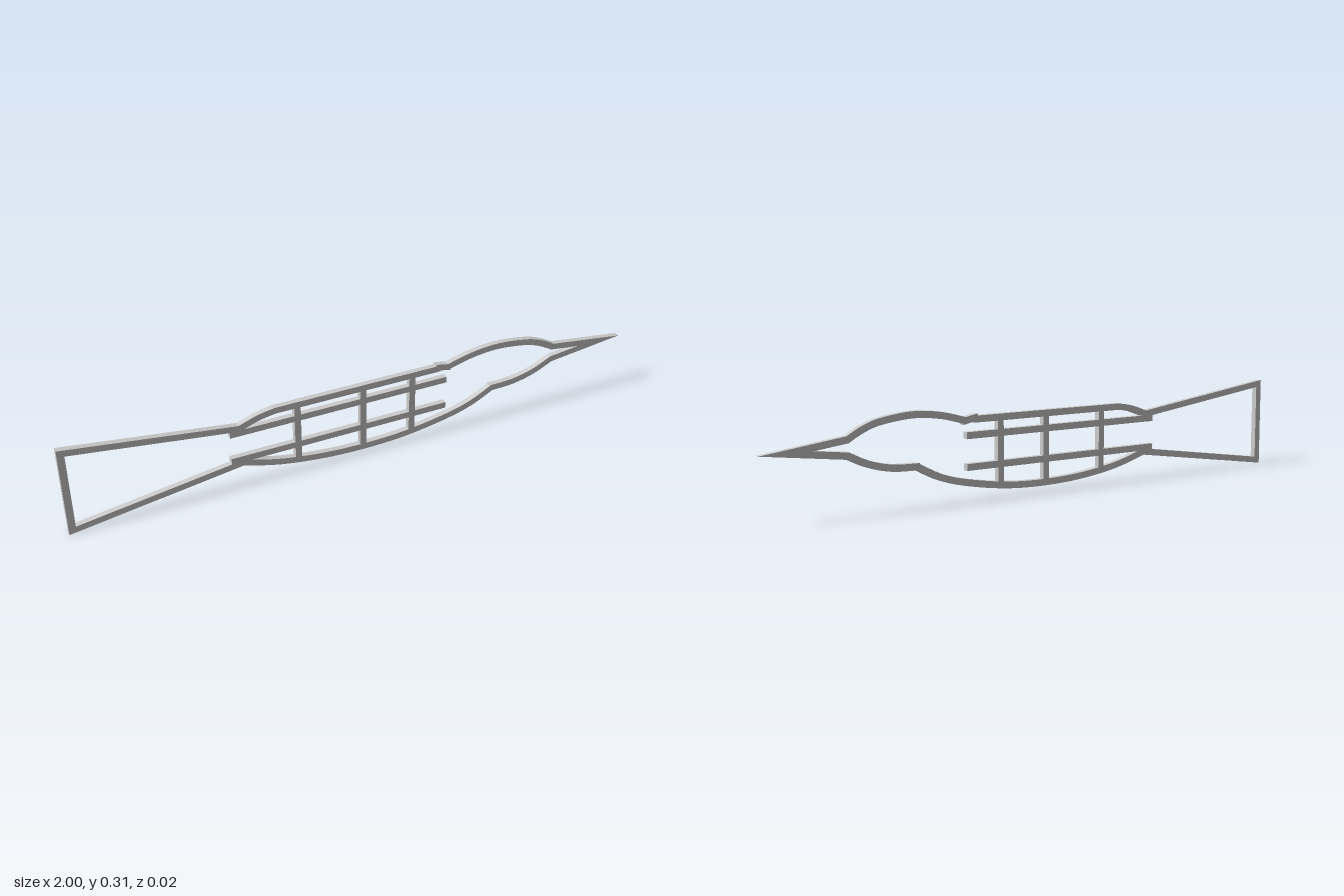
import * as THREE from 'three';
import { toCreasedNormals } from 'three/addons/utils/BufferGeometryUtils.js';

const DEPTH = 0.02;  // thickness along z
const WIDTH = 0.022; // width of every frame strip

export function createModel() {
  const model = new THREE.Group();
  const material = new THREE.MeshStandardMaterial({ color: 0xcccccc });

  // Flat plate from an outline in the xy plane, centred on z = 0
  function plate(name, points) {
    const shape = new THREE.Shape(points.map(([x, y]) => new THREE.Vector2(x, y)));
    const geometry = new THREE.ExtrudeGeometry(shape, { depth: DEPTH, bevelEnabled: false });
    geometry.translate(0, 0, -DEPTH / 2);
    const mesh = new THREE.Mesh(toCreasedNormals(geometry, 0.5), material);
    mesh.name = name;
    model.add(mesh);
  }

  // Strip of constant width following a smooth centre line
  function strip(name, points, segments = 24) {
    const curve = new THREE.SplineCurve(points.map(([x, y]) => new THREE.Vector2(x, y)));
    const upper = [], lower = [];
    for (let i = 0; i <= segments; i++) {
      const p = curve.getPoint(i / segments);
      const t = curve.getTangent(i / segments).multiplyScalar(WIDTH / 2);
      upper.push([p.x - t.y, p.y + t.x]);
      lower.unshift([p.x + t.y, p.y - t.x]);
    }
    plate(name, [...upper, ...lower]);
  }

  // Flared tail frame, open towards the body
  plate('tail', [
    [-0.42, 0.236], [-1, 0.313], [-1, 0], [-0.42, 0.084],
    [-0.42, 0.106], [-0.977, 0.025], [-0.977, 0.288], [-0.42, 0.214],
  ]);

  // Body outline
  strip('shoulder', [[-0.435, 0.226], [-0.37, 0.249], [-0.31, 0.26]]);
  strip('back', [[-0.315, 0.26], [0.28, 0.26]], 1);
  strip('neckTab', [[0.263, 0.267], [0.32, 0.256]], 1);
  strip('belly', [
    [-0.435, 0.097], [-0.3, 0.06], [-0.15, 0.038], [0, 0.031],
    [0.15, 0.037], [0.3, 0.06], [0.4, 0.087], [0.485, 0.129],
  ], 48);

  // Head and throat
  strip('head', [[0.305, 0.257], [0.4, 0.281], [0.5, 0.29], [0.61, 0.278], [0.67, 0.259], [0.72, 0.233]], 36);
  strip('throat', [[0.478, 0.129], [0.57, 0.133], [0.65, 0.152], [0.72, 0.184]]);

  // Pointed beak with a notch cut from behind
  plate('beak', [
    [0.715, 0.244], [0.715, 0.222], [0.83, 0.208],
    [0.715, 0.194], [0.715, 0.172], [1, 0.208],
  ]);

  // Inner lattice
  for (const [name, y] of [['upperRail', 0.21], ['lowerRail', 0.109]]) {
    strip(name, [[-0.465, y], [0.305, y]], 1);
  }
  for (const [name, x, bottom] of [['rearPost', -0.235, 0.047], ['middlePost', -0.003, 0.031], ['frontPost', 0.177, 0.04]]) {
    strip(name, [[x, bottom], [x, 0.26]], 1);
  }

  return model;
}
